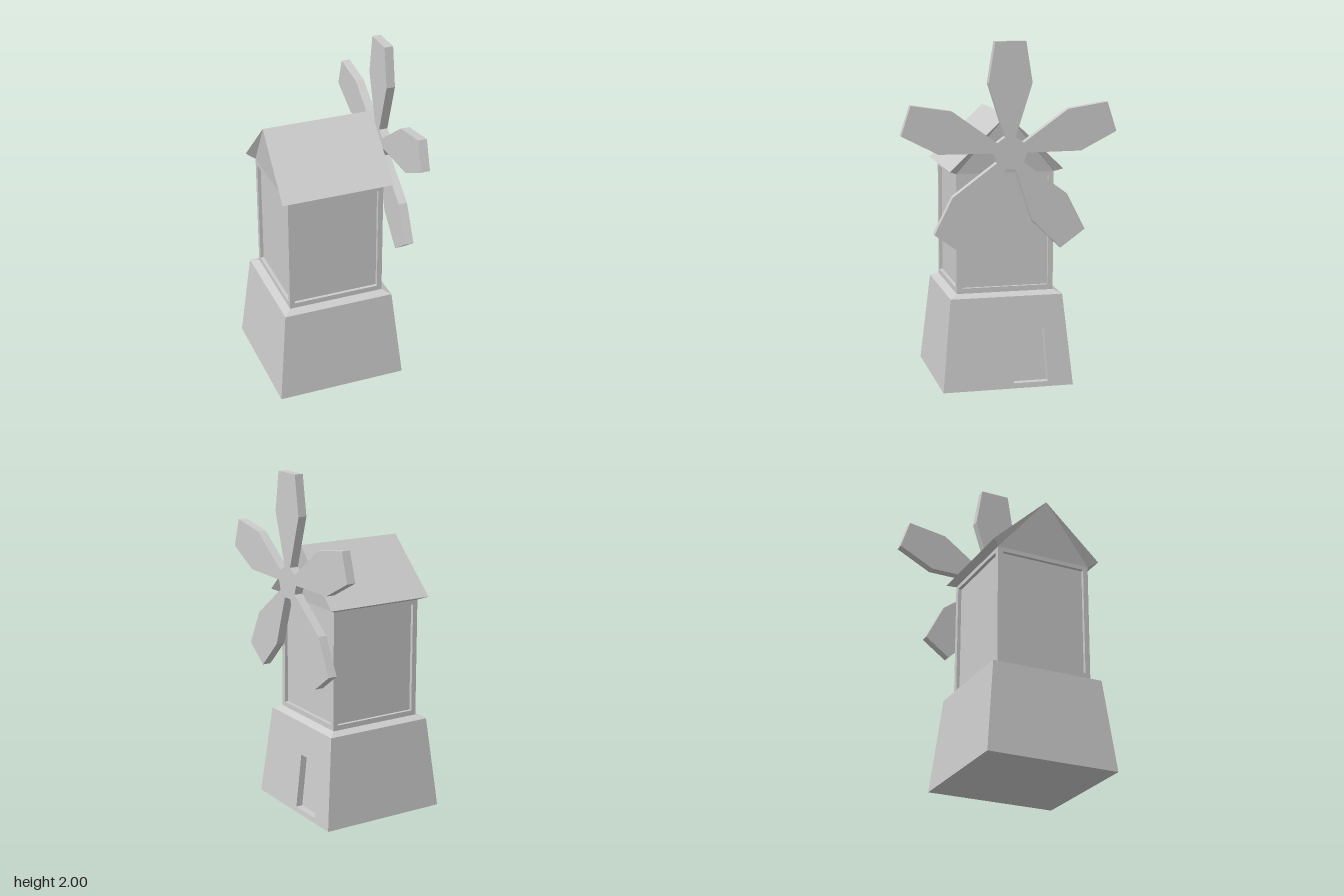
import * as THREE from 'three';

const grey = new THREE.MeshStandardMaterial({ color: 0xcccccc, flatShading: true });
const thin = new THREE.MeshStandardMaterial({ color: 0xcccccc, flatShading: true, side: THREE.DoubleSide });

function addMesh(parent, name, geometry, material = grey) {
  const mesh = new THREE.Mesh(geometry, material);
  mesh.name = name;
  parent.add(mesh);
  return mesh;
}

function polygon(points, Type = THREE.Shape) {
  return new Type(points.map(([x, y]) => new THREE.Vector2(x, y)));
}

function extrude(shape, depth) {
  return new THREE.ExtrudeGeometry(shape, { depth, bevelEnabled: false });
}

// Square frustum between two heights; the front (+z) can be pulled in
function frustum(y0, half0, y1, half1, frontInset = 0) {
  const g = new THREE.BoxGeometry(2, 1, 2);
  const p = g.attributes.position;
  for (let i = 0; i < p.count; i++) {
    const top = p.getY(i) > 0;
    const h = top ? half1 : half0;
    const z = p.getZ(i) * h;
    p.setXYZ(i, p.getX(i) * h, top ? y1 : y0, z > 0 ? z - frontInset : z);
  }
  g.computeVertexNormals();
  return g;
}

// Gabled roof: eaves and ridge overhang the walls, undersides slope back to them
function roofGeometry() {
  const ridge = t => [0, 1.585, t * 0.325];
  const eave = (s, t) => [s * 0.33, 1.27, t * 0.33];
  const wall = (s, t) => [s * 0.285, 1.25, t * 0.285];
  const out = [];
  const tri = (a, b, c, flip) => out.push(...a, ...(flip ? c : b), ...(flip ? b : c));
  const quad = (a, b, c, d, flip) => { tri(a, b, c, flip); tri(a, c, d, flip); };
  for (const s of [1, -1]) {
    quad(eave(s, 1), eave(s, -1), ridge(-1), ridge(1), s < 0);
    quad(wall(s, 1), wall(s, -1), eave(s, -1), eave(s, 1), s < 0);
    for (const t of [1, -1]) tri(ridge(t), wall(s, t), eave(s, t), s * t < 0);
  }
  for (const t of [1, -1]) tri(ridge(t), wall(-1, t), wall(1, t), t < 0);
  const g = new THREE.BufferGeometry();
  g.setAttribute('position', new THREE.Float32BufferAttribute(out, 3));
  g.computeVertexNormals();
  return g;
}

export function createModel() {
  const model = new THREE.Group();
  model.name = 'windmill';
  const mill = new THREE.Group();
  mill.name = 'mill';
  mill.position.set(-0.1, 0, 0.08);
  mill.rotation.y = THREE.MathUtils.degToRad(144);
  model.add(mill);

  // Tapered base, with a front wall cut out for the doorway
  const doorDepth = 0.04;
  addMesh(mill, 'base', frustum(0, 0.385, 0.535, 0.33, doorDepth));
  const front = polygon([[-0.385, 0], [0.385, 0], [0.33, 0.535], [-0.33, 0.535]]);
  front.holes.push(polygon([[0.03, 0.03], [0.035, 0.35], [0.215, 0.35], [0.235, 0.03]], THREE.Path));
  const frontWall = extrude(front, doorDepth);
  const p = frontWall.attributes.position;
  for (let i = 0; i < p.count; i++) {
    p.setZ(i, p.getZ(i) + 0.385 - doorDepth - p.getY(i) * 0.055 / 0.535);
  }
  frontWall.computeVertexNormals();
  addMesh(mill, 'doorWall', frontWall);
  addMesh(mill, 'baseLedge', frustum(0.535, 0.33, 0.555, 0.286));

  // Upper house: core box plus a raised frame around each recessed panel
  addMesh(mill, 'houseCore', frustum(0.555, 0.265, 1.26, 0.265));
  const frame = polygon([[-0.285, 0.555], [0.285, 0.555], [0.285, 1.255], [-0.285, 1.255]]);
  frame.holes.push(polygon([[-0.255, 0.585], [-0.255, 1.225], [0.255, 1.225], [0.255, 0.585]], THREE.Path));
  const frameGeometry = extrude(frame, 0.02).translate(0, 0, 0.265);
  for (let i = 0; i < 4; i++) {
    addMesh(mill, 'wallFrame', frameGeometry).rotation.y = i * Math.PI / 2;
  }

  addMesh(mill, 'roof', roofGeometry(), thin);

  // Rotor: five blades joined around a ten-sided hub, in one outline
  const blade = [[-0.03, 0.09], [-0.125, 0.39], [-0.088, 0.62], [0.088, 0.62], [0.125, 0.39], [0.03, 0.09]];
  const outline = [];
  for (let i = 0; i < 5; i++) {
    const a = i * Math.PI * 2 / 5;
    for (const [x, y] of blade) {
      outline.push([x * Math.cos(a) + y * Math.sin(a), y * Math.cos(a) - x * Math.sin(a)]);
    }
  }
  addMesh(mill, 'rotor', extrude(polygon(outline), 0.051)).position.set(0, 1.38, 0.362);

  // Short axle between gable and rotor
  const axle = addMesh(mill, 'axle', new THREE.CylinderGeometry(0.05, 0.05, 0.12, 8));
  axle.rotation.x = Math.PI / 2;
  axle.position.set(0, 1.38, 0.31);

  return model;
}
